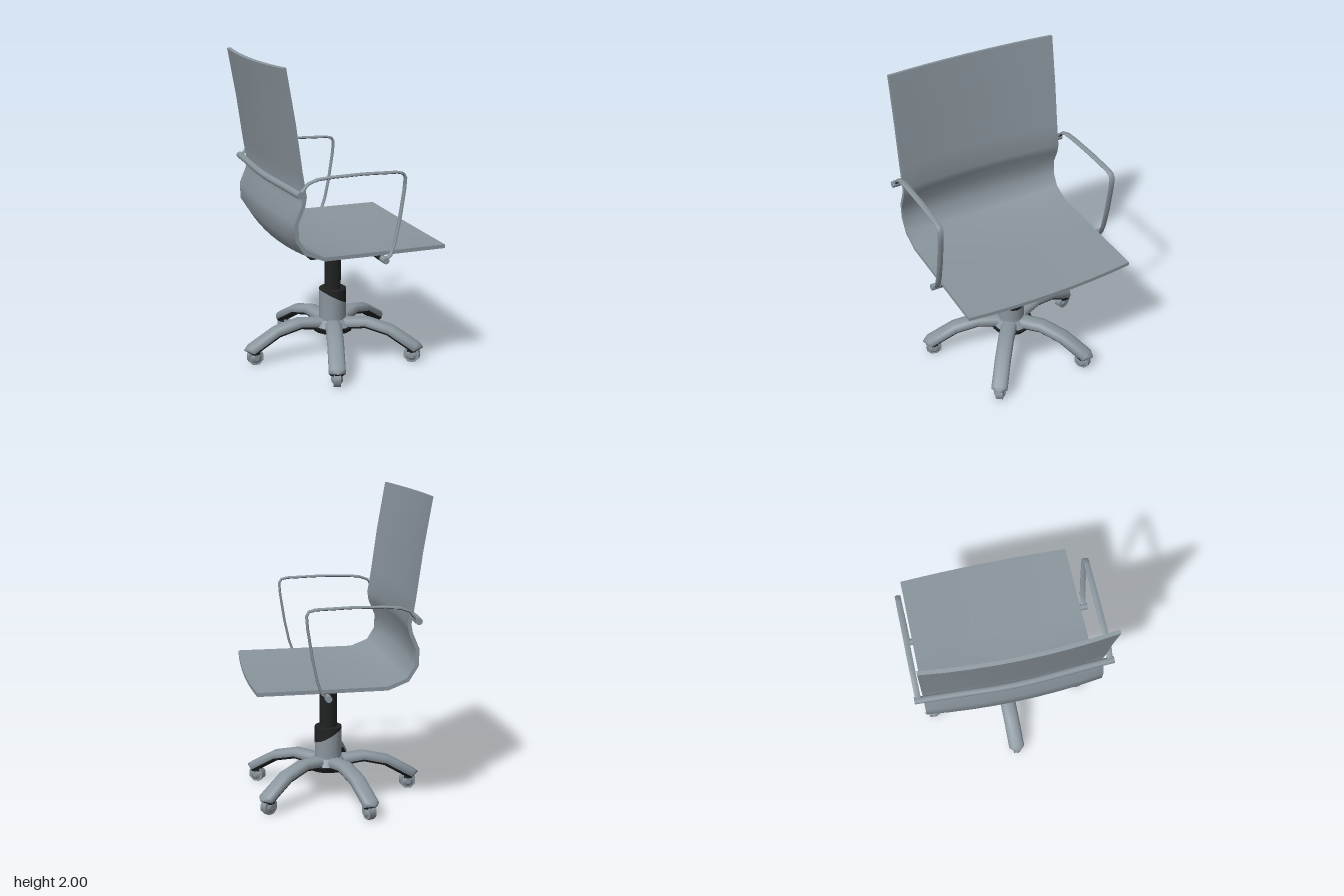
import * as THREE from 'three';
import { toCreasedNormals } from 'three/addons/utils/BufferGeometryUtils.js';

const V = (x, y, z) => new THREE.Vector3(x, y, z);

// Closed surface through a list of equal-length rings, capped at both ends.
// Faces whose normal points down past darkBelow go to the second material.
function loft(rings, crease, darkBelow) {
  const n = rings[0].length;
  const tris = [];
  for (let i = 0; i < rings.length - 1; i++) {
    for (let j = 0; j < n; j++) {
      const k = (j + 1) % n;
      const a = rings[i][j], b = rings[i][k], c = rings[i + 1][k], d = rings[i + 1][j];
      tris.push([a, b, c], [a, c, d]);
    }
  }
  // Caps zigzag across the ring so thin curved ends stay clean
  const cap = (r, flip) => {
    for (let lo = 0, hi = n - 1; hi - lo > 1;) {
      tris.push(flip ? [r[hi], r[lo + 1], r[lo]] : [r[lo], r[lo + 1], r[hi]]);
      lo++;
      if (hi - lo > 1) {
        tris.push(flip ? [r[hi], r[hi - 1], r[lo]] : [r[lo], r[hi - 1], r[hi]]);
        hi--;
      }
    }
  };
  cap(rings[0], true);
  cap(rings[rings.length - 1], false);
  // Turn every face outward, then sort by material
  const volume = tris.reduce((s, [a, b, c]) => s + a.dot(b.clone().cross(c)), 0);
  const faces = tris.map(([a, b, c]) => (volume < 0 ? [a, c, b] : [a, b, c]));
  const isDark = (f) => new THREE.Triangle(...f).getNormal(V(0, 0, 0)).y < darkBelow;
  const light = faces.filter((f) => !isDark(f)), dark = faces.filter(isDark);
  const geo = new THREE.BufferGeometry().setFromPoints([...light, ...dark].flat());
  geo.addGroup(0, light.length * 3, 0);
  geo.addGroup(light.length * 3, dark.length * 3, 1);
  return toCreasedNormals(geo, crease);
}

// Unit tangent of a 2D path at point i
function tangent(pts, i) {
  const a = pts[Math.max(i - 1, 0)], b = pts[Math.min(i + 1, pts.length - 1)];
  const l = Math.hypot(b[0] - a[0], b[1] - a[1]);
  return [(b[0] - a[0]) / l, (b[1] - a[1]) / l];
}

// Rounded bar along an x-y path of [x, y, half thickness, half width]
function roundedBar(path, sides, z, darkBelow) {
  const soft = (v) => Math.sign(v) * Math.abs(v) ** 0.75;
  return loft(path.map(([x, y, h, w], i) => {
    const [tx, ty] = tangent(path, i);
    return Array.from({ length: sides }, (_, j) => {
      const a = ((j + 0.5) / sides) * Math.PI * 2;
      const o = soft(Math.sin(a)) * h;
      return V(x - ty * o, y + tx * o, z + soft(Math.cos(a)) * w);
    });
  }), 1.1, darkBelow);
}

export function createModel() {
  const chair = new THREE.Group();
  chair.name = 'officeChair';
  const material = (name, color) => {
    const m = new THREE.MeshStandardMaterial({ color });
    m.name = name;
    return m;
  };
  const grey = material('slate grey', 0x8a959d);
  const black = material('soft black', 0x212223);
  const both = [grey, black];

  const add = (name, geo, mat, parent = chair, x = 0, y = 0, z = 0) => {
    const m = new THREE.Mesh(geo, mat);
    m.name = name;
    m.position.set(x, y, z);
    parent.add(m);
    return m;
  };

  // Seat and back: one thin shell, hollowed towards its middle, black underneath
  const profile = [
    [-0.465, 2], [-0.41, 1.68], [-0.37, 1.39], [-0.345, 1.24], [-0.355, 1.18], [-0.398, 1.08],
    [-0.395, 0.985], [-0.345, 0.905], [-0.23, 0.86], [0.1, 0.859], [0.562, 0.859],
  ];
  const half = 0.57, columns = 8, thick = 0.024;
  add('seatShell', loft(profile.map(([x, y], i) => {
    const [tx, ty] = tangent(profile, i);
    const row = (depth) => Array.from({ length: columns + 1 }, (_, j) => {
      const u = (j / columns) * 2 - 1, bow = 1 - u * u;
      const d = depth + bow * (i < 8 ? 0.036 : 0.015);
      const reach = i === profile.length - 1 ? 0.02 * bow : 0;
      return V(x + ty * d + reach, y - tx * d, u * half);
    });
    return [...row(0), ...row(thick).reverse()];
  }), 0.9, -0.96), both);

  // Support plate under the seat
  const outline = [[0.4, 0], [0.13, 0.43], [-0.27, 0.42], [-0.27, -0.42], [0.13, -0.43]];
  const plate = new THREE.ExtrudeGeometry(
    new THREE.Shape(outline.map(([x, z]) => new THREE.Vector2(x, z))),
    { depth: 0.025, bevelEnabled: false });
  plate.rotateX(-Math.PI / 2);
  add('seatPlate', plate, black, chair, 0, 0.805, 0);

  // Cross rods joining the two armrests
  const rod = (length) => new THREE.CylinderGeometry(0.021, 0.021, length, 10).rotateX(Math.PI / 2);
  add('frontRod', rod(1.13), black, chair, 0.142, 0.813, 0);
  for (const s of [-1, 1]) add('frontRodEnd', rod(0.06), grey, chair, 0.142, 0.813, s * 0.595);
  const rearPath = new THREE.CatmullRomCurve3([
    V(-0.402, 1.265, -0.625), V(-0.41, 1.265, -0.45), V(-0.432, 1.265, 0),
    V(-0.41, 1.265, 0.45), V(-0.402, 1.265, 0.625),
  ]);
  add('rearRod', new THREE.TubeGeometry(rearPath, 12, 0.022, 10), grey);
  for (const s of [-1, 1]) {
    const end = new THREE.CircleGeometry(0.022, 10);
    if (s < 0) end.rotateY(Math.PI);
    add('rearRodEnd', end, grey, chair, -0.402, 1.265, s * 0.625);
  }

  // Armrest loops
  const armPoints = [
    [-0.41, 1.262], [-0.382, 1.285], [-0.35, 1.325], [-0.29, 1.347], [-0.2, 1.354], [0, 1.358],
    [0.215, 1.352], [0.255, 1.342], [0.27, 1.315], [0.264, 1.24], [0.235, 1.05], [0.205, 0.91],
    [0.18, 0.84], [0.142, 0.813],
  ].map(([x, y]) => [x, y, 0.008, 0.019]);
  for (const s of [-1, 1]) {
    add(s > 0 ? 'leftArmrest' : 'rightArmrest', roundedBar(armPoints, 8, s * 0.6, -0.6), both);
  }

  // Gas lift column and hub
  const base = new THREE.Group();
  base.name = 'base';
  base.position.x = 0.035;
  chair.add(base);
  const cylinder = (rTop, rBottom, y0, y1, sides) =>
    new THREE.CylinderGeometry(rTop, rBottom, y1 - y0, sides).translate(0, (y0 + y1) / 2, 0);
  // Shears the rim at height y so it slopes down towards the front
  const slopeRim = (geo, y) => {
    const p = geo.attributes.position;
    for (let i = 0; i < p.count; i++) {
      if (Math.abs(p.getY(i) - y) < 0.001) p.setY(i, y - p.getX(i) * 0.55);
    }
    return geo;
  };
  add('liftPiston', cylinder(0.058, 0.058, 0.44, 0.81, 8), black, base);
  add('sleeveCollar', slopeRim(cylinder(0.09, 0.09, 0.405, 0.46, 16), 0.405), black, base);
  add('liftSleeve', slopeRim(cylinder(0.09, 0.09, 0.22, 0.405, 16), 0.405), grey, base);
  add('hub', cylinder(0.1, 0.13, 0.21, 0.255, 16), grey, base);
  add('hubUnderside', cylinder(0.15, 0.13, 0.175, 0.21, 16), black, base);

  // Five arched legs with castors; the first points straight back
  const legPath = [
    [0.01, 0.222, 0.042, 0.05], [0.09, 0.223, 0.04, 0.054], [0.235, 0.24, 0.036, 0.054],
    [0.39, 0.202, 0.036, 0.054], [0.565, 0.098, 0.037, 0.054], [0.613, 0.105, 0.003, 0.004],
  ];
  const legGeo = roundedBar(legPath, 12, 0, -0.4);
  const wheelGeo = new THREE.CylinderGeometry(0.054, 0.054, 0.045, 8);
  wheelGeo.rotateY(Math.PI / 8).rotateX(Math.PI / 2);
  const capGeo = new THREE.CylinderGeometry(0.02, 0.04, 0.014, 8);
  capGeo.rotateX(Math.PI / 2);
  const stemGeo = cylinder(0.03, 0.038, 0.07, 0.13, 8);
  for (let i = 0; i < 5; i++) {
    const leg = new THREE.Group();
    leg.name = 'legWithCastor';
    leg.rotation.y = Math.PI + (i * Math.PI * 2) / 5;
    base.add(leg);
    add('leg', legGeo, both, leg);
    add('castorStem', stemGeo, black, leg, 0.54);
    add('castorWheel', wheelGeo, grey, leg, 0.54, 0.05, 0);
    for (const s of [-1, 1]) {
      const hubCap = add('castorCap', capGeo, grey, leg, 0.54, 0.05, s * 0.029);
      if (s < 0) hubCap.rotation.y = Math.PI;
    }
  }
  return chair;
}
